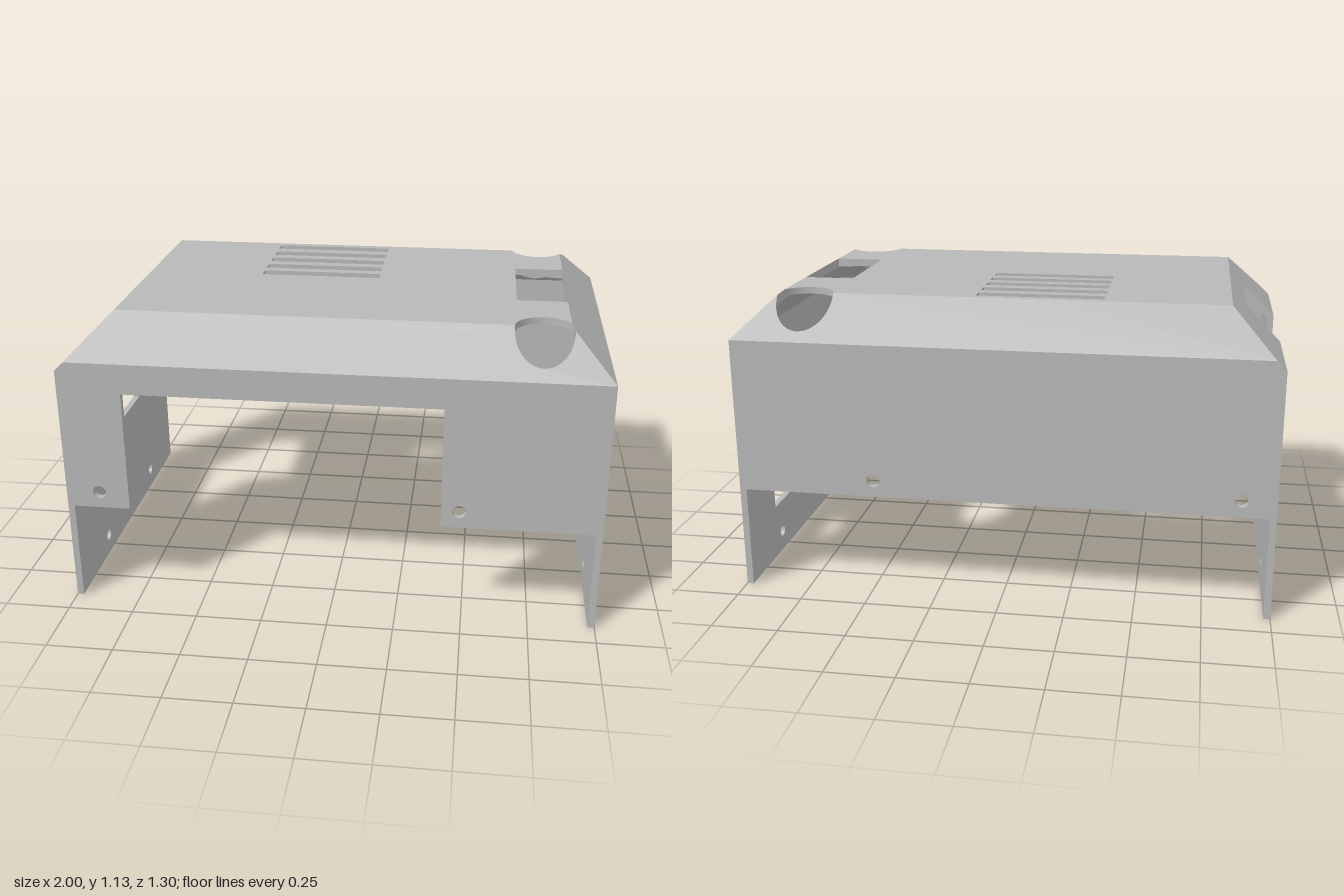
import * as THREE from 'three';

const T = 0.025;                 // sheet thickness
const W = 1, D = 0.65;           // half width, half depth
const R2 = Math.SQRT2;

// Roof planes as y = a*x + b*z + c, with the slope's steepness for the inner offset
const planes = [
  { a: 0, b: 0, c: 1.13, k: 1 },
  { a: 0, b: -1, c: 1.625, k: R2 },
  { a: 0, b: 1, c: 1.625, k: R2 },
  { a: 1, b: 0, c: 1.94, k: R2 },
  { a: -1, b: 0, c: 1.975, k: R2 },
];
const height = (set, x, z) => Math.min(...set.map(p => p.a * x + p.b * z + p.c));

const rect = (x0, x1, y0, y1) => [[x0, y0], [x1, y0], [x1, y1], [x0, y1]];
const circle = (cx, cy, r, n = 48) => Array.from({ length: n }, (_, i) => {
  const t = (i / n) * Math.PI * 2;
  return [cx + r * Math.cos(t), cy + r * Math.sin(t)];
});
const toVecs = pts => pts.map(([x, y]) => new THREE.Vector2(x, y));
function makeShape(outline, holes) {
  const shape = new THREE.Shape(toVecs(outline));
  holes.forEach(h => shape.holes.push(new THREE.Path(toVecs(h))));
  return shape;
}

// Keep the part of a convex polygon where f >= 0
function clip(poly, f) {
  const out = [];
  poly.forEach((p, i) => {
    const q = poly[(i + 1) % poly.length], fp = f(p), fq = f(q);
    if (fp >= 0) out.push(p);
    if ((fp > 0 && fq < 0) || (fp < 0 && fq > 0)) {
      const t = fp / (fp - fq);
      out.push([p[0] + t * (q[0] - p[0]), p[1] + t * (q[1] - p[1])]);
    }
  });
  return out;
}

// Lift a plan shape onto the roof planes, splitting it along the creases
function liftPlan(shape, set, up, out) {
  const g = new THREE.ShapeGeometry(shape);
  const pos = g.attributes.position, idx = g.index.array;
  for (let i = 0; i < idx.length; i += 3) {
    const tri = [0, 1, 2].map(k => [pos.getX(idx[i + k]), pos.getY(idx[i + k])]);
    for (const p of set) {
      let poly = tri;
      for (const q of set) {
        if (q !== p) poly = clip(poly, ([x, z]) => (q.a - p.a) * x + (q.b - p.b) * z + q.c - p.c);
      }
      const lift = ([x, z]) => [x, p.a * x + p.b * z + p.c, z];
      for (let k = 1; k + 1 < poly.length; k++) {
        const f = [poly[0], poly[k], poly[k + 1]].map(lift);
        if (up) f.reverse();
        out.push(...f.flat());
      }
    }
  }
}

function roofGeometry() {
  const inner = planes.map(p => ({ ...p, c: p.c - T * p.k }));
  // Openings: vents, display window, two round cut-outs
  const holes = [-0.435, -0.335, -0.237, -0.14, -0.045].map(z => rect(-0.355, 0.115, z - 0.027, z + 0.027));
  holes.push(rect(0.655, 0.845, -0.215, 0.207));
  holes.push(circle(0.75, 0.505, 0.106), circle(0.75, -0.51, 0.106));
  // Outline notched for the large side opening
  const outline = (w, d) => [[-w, -d], [w, -d], [w, d], [-w, d], [-w, 0.22], [-0.87, 0.22], [-0.87, -0.225], [-w, -0.225]];

  const out = [];
  liftPlan(makeShape(outline(W, D), holes), planes, true, out);
  liftPlan(makeShape(outline(W - T, D - T), holes), inner, false, out);

  // Cut edges between the outer and inner skins
  const rim = (p, q) => {
    const [t0, t1] = [p, q].map(([x, z]) => [x, height(planes, x, z), z]);
    const [b0, b1] = [p, q].map(([x, z]) => [x, height(inner, x, z), z]);
    out.push(...t0, ...b0, ...b1, ...t0, ...b1, ...t1);
  };
  holes.forEach(h => h.forEach((p, i) => rim(p, h[(i + 1) % h.length])));
  const notch = rect(-W, -0.87, -0.225, 0.22);
  for (let i = 0; i < 3; i++) rim(notch[i], notch[i + 1]);

  const g = new THREE.BufferGeometry();
  g.setAttribute('position', new THREE.Float32BufferAttribute(out, 3));
  g.computeVertexNormals();
  return g;
}

export function createModel() {
  const group = new THREE.Group();
  const grey = new THREE.MeshStandardMaterial({ color: 0xb8b8b8, side: THREE.DoubleSide });
  grey.name = 'sheet grey';
  const add = (name, geometry) => {
    const m = new THREE.Mesh(geometry, grey);
    m.name = name;
    group.add(m);
  };
  const plate = (outline, holes) =>
    new THREE.ExtrudeGeometry(makeShape(outline, holes), { depth: T, bevelEnabled: false });

  add('roof', roofGeometry());

  // Front and back walls with screw holes; the front one has a wide notch
  const low = 0.393;
  const screws = [-0.873, 0.478].map(x => circle(x, 0.457, 0.025, 32));
  const top = [[W, low], [W, 0.975], [-0.965, 0.975], [-W, 0.94], [-W, low]];
  const notch = [[-0.76, low], [-0.76, 0.86], [0.412, 0.86], [0.412, low]];
  add('frontWall', plate([...top, ...notch], screws).translate(0, 0, D - T));
  add('backWall', plate(top, screws).translate(0, 0, -D));

  // Side walls, drawn with the horizontal axis pointing to -z
  const feet = () => [-0.312, 0.312].map(u => circle(u, 0.08, 0.024, 32));
  const rightOutline = rect(-D, D, 0, 0.975);
  add('socketWall', plate(rightOutline, [rect(0.18, 0.376, 0.208, 0.382), ...feet()])
    .rotateY(Math.PI / 2).translate(W - T, 0, 0));
  const leftOutline = [[-D, 0], [D, 0], [D, 0.94], [0.225, 0.94], [0.225, 0.48], [-0.22, 0.48], [-0.22, 0.94], [-D, 0.94]];
  add('openingWall', plate(leftOutline, feet())
    .rotateY(Math.PI / 2).translate(-W, 0, 0));

  return group;
}
